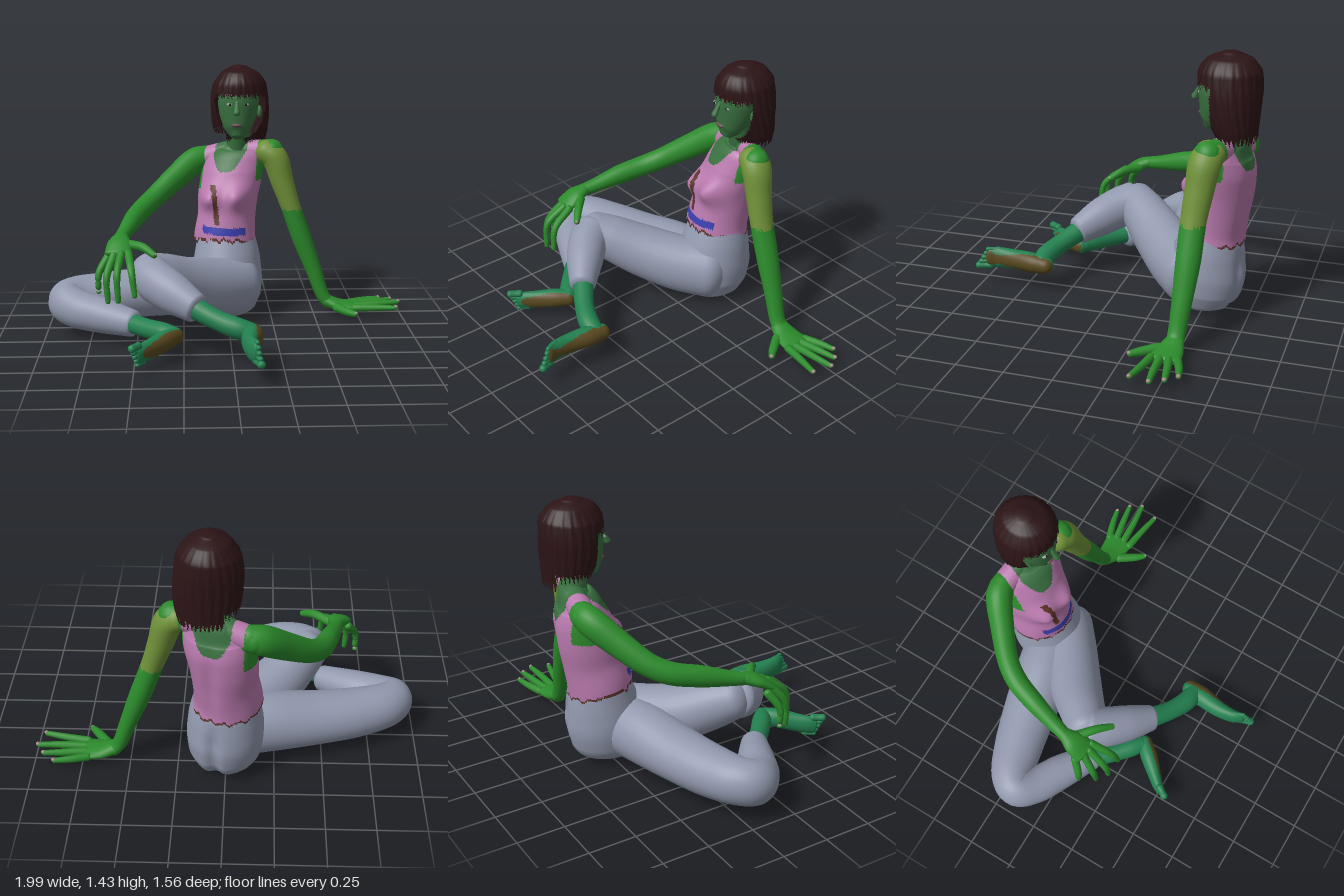
import * as THREE from 'three';

const mat = (color, side = THREE.FrontSide) => new THREE.MeshStandardMaterial({ color, side });
const V = (x, y, z) => new THREE.Vector3(x, y, z);
const clamp = THREE.MathUtils.clamp;

export function createModel() {
  const root = new THREE.Group();
  const M = {
    skin: mat(0x2c8a2c), olive: mat(0x6f9038), face: mat(0x3a7040), sole: mat(0x5a4a20), ankle: mat(0x238050),
    shirt: mat(0xb97aae, THREE.DoubleSide), streak: mat(0x5a3328, THREE.DoubleSide), blue: mat(0x3a3fb0, THREE.DoubleSide),
    trousers: mat(0x9299ae), hair: mat(0x2c1416, THREE.DoubleSide), nail: mat(0xa08a84), lips: mat(0x6b4a50),
    eye: mat(0x9aa39a), pupil: mat(0x151515),
  };

  // Smooth body part through sections [x, y, z, halfWidth, halfDepth]; depth follows ref.
  // paint is a material key, or a rule giving a key per face (null leaves it out).
  function limb(name, sections, paint, o = {}) {
    const { ref = V(0, 1, 0), seg = 20, rings = 24, cap = 0.9, warp, parent = root } = o;
    const path = new THREE.CatmullRomCurve3(sections.map(s => V(s[0], s[1], s[2])));
    const size = new THREE.CatmullRomCurve3(sections.map(s => V(s[3], s[4] ?? s[3], 0)));
    const list = [];
    const capSteps = 6;
    for (let i = 0; i < capSteps; i++) list.push([0, (i / capSteps) * Math.PI / 2, -1]);
    for (let i = 0; i <= rings; i++) list.push([i / rings, Math.PI / 2, 0]);
    for (let i = capSteps - 1; i >= 0; i--) list.push([1, (i / capSteps) * Math.PI / 2, 1]);
    const pos = [], idx = [];
    for (const [t, ang, dir] of list) {
      const T = path.getTangent(t), r = size.getPoint(t);
      const B = ref.clone().addScaledVector(T, -ref.dot(T)).normalize();
      const S = B.clone().cross(T);
      const c = path.getPoint(t).addScaledVector(T, dir * Math.cos(ang) * Math.min(r.x, r.y) * cap);
      const k = Math.max(Math.sin(ang), 0.002);
      for (let j = 0; j < seg; j++) {
        const th = (j / seg) * Math.PI * 2;
        const p = c.clone().addScaledVector(S, Math.cos(th) * r.x * k).addScaledVector(B, Math.sin(th) * r.y * k);
        if (warp) warp(p, th);
        pos.push(p.x, p.y, p.z);
      }
    }
    for (let i = 0; i < list.length - 1; i++) for (let j = 0; j < seg; j++) {
      const a = i * seg + j, b = i * seg + (j + 1) % seg, c = a + seg, d = b + seg;
      idx.push(a, b, c, b, d, c);
    }
    const geo = new THREE.BufferGeometry();
    geo.setAttribute('position', new THREE.Float32BufferAttribute(pos, 3));
    geo.setIndex(idx);
    geo.computeVertexNormals();
    const groups = {};
    for (let i = 0; i < idx.length; i += 3) {
      const f = idx.slice(i, i + 3);
      const mid = n => (pos[f[0] * 3 + n] + pos[f[1] * 3 + n] + pos[f[2] * 3 + n]) / 3;
      const key = typeof paint === 'string' ? paint : paint(V(mid(0), mid(1), mid(2)));
      if (key) (groups[key] ??= []).push(...f);
    }
    for (const key in groups) {
      const g = geo.clone();
      g.setIndex(groups[key]);
      const mesh = new THREE.Mesh(g, M[key]);
      mesh.name = Object.keys(groups).length > 1 ? `${name} ${key}` : name;
      parent.add(mesh);
    }
  }
  function ball(name, p, s, key, parent = root) {
    const m = new THREE.Mesh(new THREE.SphereGeometry(1, 16, 12), M[key]);
    m.name = name;
    m.position.set(...p);
    m.scale.set(...s);
    parent.add(m);
  }

  // The trunk is turned a little towards its right
  const front = V(-0.295, 0, 0.955), side = V(0.955, 0, 0.295);
  const local = p => { const q = V(p.x - 0.03, 0, p.z + 0.59); return [q.dot(side), q.dot(front)]; };
  const bump = (a, b, w) => Math.exp(-(a * a + b * b) / (w * w));
  const jag = a => 0.012 * Math.sin(a * 90) + 0.007 * Math.sin(a * 173);

  // Tank top with scooped neck, arm holes and ragged hem
  function topRule(p) {
    const [u, v] = local(p), w = Math.abs(u);
    if (p.y < 0.415 + 0.2 * v + jag(u) * 0.7) return null;
    if (p.y < 0.428 + 0.2 * v + jag(u) * 0.7) return 'streak';
    const tilt = p.y - u * 0.15;
    const neck = (v > 0 ? 0.84 : 0.82) + 18 * Math.max(0, w - 0.02) ** 2;
    if (tilt > neck && w < 0.095) return 'face';
    if (tilt > 0.76 && w > 0.155) return 'skin';
    if (v > 0.05 && Math.abs(p.x + 0.07 - (0.65 - p.y) * 0.1) < 0.014 && p.y > 0.55 && p.y < 0.77) return 'streak';
    if (v > 0.05 && Math.abs(p.y - 0.515 - 0.1 * (0.0 - p.x) * 0.5) < 0.02 && p.x > -0.14 && p.x < 0.1) return 'blue';
    return 'shirt';
  }
  limb('torso', [
    [0, 0.34, -0.53, 0.185, 0.17], [-0.012, 0.45, -0.535, 0.177, 0.17], [0, 0.58, -0.56, 0.165, 0.165],
    [0.01, 0.70, -0.585, 0.172, 0.16], [0.03, 0.81, -0.605, 0.178, 0.145], [0.045, 0.89, -0.615, 0.17, 0.115],
    [0.055, 0.945, -0.625, 0.13, 0.08], [0.06, 0.97, -0.62, 0.07, 0.06],
  ], topRule, {
    ref: front, seg: 96, rings: 80, cap: 0.2,
    warp(p) {
      const [u, v] = local(p);
      if (v > 0) p.addScaledVector(front, 0.06 * (bump(u - 0.085, p.y - 0.70, 0.065) + bump(u + 0.085, p.y - 0.70, 0.065)));
      else p.addScaledVector(front, 0.018 * bump(u, (p.y - 0.65) * 0.2, 0.04));
      p.y += u * 0.16 * clamp((p.y - 0.6) / 0.3, 0, 1);
    },
  });
  limb('shoulders', [
    [-0.14, 0.885, -0.67, 0.065], [-0.05, 0.915, -0.655, 0.062], [0.05, 0.94, -0.635, 0.06],
    [0.16, 0.945, -0.595, 0.062], [0.26, 0.945, -0.55, 0.07],
  ], topRule, { rings: 60 });

  // Trousers: seat and legs
  limb('seat', [
    [0.01, 0.015, -0.49, 0.08, 0.09], [0.01, 0.05, -0.49, 0.15, 0.165], [0.005, 0.12, -0.495, 0.188, 0.2],
    [0, 0.22, -0.505, 0.2, 0.21], [0, 0.34, -0.52, 0.19, 0.188], [-0.005, 0.46, -0.535, 0.166, 0.155],
  ], 'trousers', {
    ref: front, seg: 64, rings: 40, cap: 0.12,
    warp(p) {
      const [u, v] = local(p);
      if (v < -0.02) p.addScaledVector(front, 0.03 * bump(u, 0, 0.03) * clamp((0.38 - p.y) / 0.12, 0, 1));
    },
  });
  limb('right leg', [
    [-0.03, 0.2, -0.45, 0.15, 0.16], [-0.22, 0.2, -0.40, 0.155, 0.16], [-0.45, 0.185, -0.345, 0.15, 0.14],
    [-0.68, 0.18, -0.285, 0.135, 0.13], [-0.84, 0.185, -0.225, 0.115, 0.12], [-0.885, 0.18, -0.165, 0.105, 0.115],
    [-0.82, 0.16, -0.09, 0.1, 0.105], [-0.68, 0.145, -0.01, 0.095, 0.095], [-0.52, 0.13, 0.09, 0.07, 0.072],
  ], 'trousers', { seg: 28, rings: 60, cap: 0.5 });
  limb('left thigh', [
    [0.06, 0.2, -0.43, 0.15, 0.17], [-0.07, 0.215, -0.32, 0.15, 0.165], [-0.24, 0.27, -0.18, 0.145, 0.15],
    [-0.37, 0.345, -0.05, 0.125, 0.13], [-0.435, 0.385, 0.02, 0.11, 0.11],
  ], 'trousers', { seg: 28, rings: 32, cap: 0.7 });
  limb('left lower leg', [
    [-0.435, 0.385, 0.02, 0.11, 0.11], [-0.39, 0.355, 0.09, 0.11, 0.115], [-0.30, 0.315, 0.18, 0.1, 0.108],
    [-0.19, 0.265, 0.275, 0.072, 0.08],
  ], 'trousers', { seg: 28, rings: 28, cap: 0.4 });

  // Feet lie on their sides, with the soles facing sideways
  function foot(name, anklePts, footPts, sole, toeBase, toeStep, bigUp, isSole) {
    const g = new THREE.Group();
    g.name = name;
    root.add(g);
    limb('ankle', anklePts, 'ankle', { parent: g });
    limb('foot', footPts, p => (isSole(p) ? 'sole' : 'ankle'), { ref: sole, seg: 28, parent: g });
    for (let i = 0; i < 5; i++) {
      const r = i === 0 ? 0.021 : 0.016 - i * 0.001;
      const p = toeBase.clone().addScaledVector(toeStep, -i * 0.2);
      p.y += bigUp * (0.045 - i * 0.024);
      const q = p.clone().add(toeStep);
      limb('toe', [[p.x, p.y, p.z, r], [(p.x + q.x) / 2, p.y, (p.z + q.z) / 2, r * 0.9], [q.x, q.y, q.z, r]],
        'ankle', { seg: 10, rings: 6, parent: g });
    }
  }
  foot('left foot',
    [[-0.22, 0.275, 0.25, 0.06], [-0.08, 0.22, 0.345, 0.052], [0.02, 0.19, 0.39, 0.055], [0.09, 0.17, 0.4, 0.05]],
    [[0.105, 0.16, 0.365, 0.045, 0.045], [0.095, 0.165, 0.45, 0.055, 0.055], [0.08, 0.165, 0.56, 0.055, 0.045],
      [0.085, 0.165, 0.66, 0.06, 0.032], [0.1, 0.165, 0.70, 0.055, 0.024]],
    V(1, 0, 0), V(0.1, 0.165, 0.695), V(0.02, 0, 0.06), -1, p => p.x > 0.112);
  foot('right foot',
    [[-0.56, 0.135, 0.06, 0.055], [-0.45, 0.13, 0.17, 0.05], [-0.36, 0.13, 0.25, 0.052], [-0.31, 0.13, 0.29, 0.045]],
    [[-0.29, 0.125, 0.30, 0.045, 0.04], [-0.345, 0.12, 0.36, 0.053, 0.047], [-0.41, 0.105, 0.43, 0.052, 0.038],
      [-0.465, 0.095, 0.49, 0.05, 0.028], [-0.48, 0.09, 0.51, 0.046, 0.022]],
    V(0.75, 0, 0.66), V(-0.475, 0.095, 0.505), V(-0.03, 0, 0.045), 1,
    p => (p.x + 0.29) * 0.75 + (p.z - 0.3) * 0.66 > 0.02);

  // Arms: the left props the body up, the right rests over the knee
  limb('left arm', [
    [0.225, 0.945, -0.56, 0.07, 0.08], [0.272, 0.91, -0.545, 0.074, 0.083], [0.315, 0.78, -0.53, 0.066, 0.074],
    [0.365, 0.63, -0.515, 0.056, 0.066], [0.425, 0.46, -0.51, 0.056, 0.064], [0.5, 0.26, -0.5, 0.045, 0.052],
    [0.555, 0.11, -0.49, 0.038, 0.045], [0.585, 0.07, -0.487, 0.036, 0.045],
  ], p => (p.y > 0.62 ? 'olive' : 'skin'), { ref: V(0, 0, 1), seg: 24, rings: 48 });
  limb('right arm', [
    [-0.11, 0.895, -0.67, 0.06, 0.07], [-0.18, 0.875, -0.655, 0.07, 0.077], [-0.3, 0.785, -0.57, 0.062, 0.07],
    [-0.42, 0.69, -0.465, 0.056, 0.06], [-0.475, 0.65, -0.38, 0.056, 0.058], [-0.52, 0.62, -0.25, 0.052, 0.056],
    [-0.56, 0.585, -0.1, 0.04, 0.04], [-0.58, 0.57, -0.02, 0.035, 0.033],
  ], 'skin', { seg: 24, rings: 48 });

  // Hands: palm, then fingers as [base, middle, tip]
  function hand(name, palm, fingers) {
    const g = new THREE.Group();
    g.name = name;
    root.add(g);
    limb('palm', palm, 'skin', { parent: g });
    fingers.forEach(([a, b, c], i) => {
      const r = i === 0 ? 0.024 : 0.02;
      limb(i ? 'finger' : 'thumb', [[...a, r * 1.1], [...b, r * 0.95], [...c, r * 0.7]], 'skin', { seg: 12, rings: 12, parent: g });
      const tip = V(...c).addScaledVector(V(...c).sub(V(...b)).normalize(), 0.006);
      ball('nail', [tip.x, tip.y + 0.006, tip.z], [0.011, 0.01, 0.011], 'nail', g);
    });
  }
  hand('left hand',
    [[0.575, 0.08, -0.488, 0.048, 0.035], [0.64, 0.058, -0.48, 0.07, 0.032], [0.73, 0.052, -0.475, 0.082, 0.022]],
    [[[0.63, 0.055, -0.42], [0.685, 0.05, -0.34], [0.718, 0.05, -0.3]],
      [[0.73, 0.055, -0.41], [0.85, 0.06, -0.39], [0.955, 0.065, -0.368]],
      [[0.74, 0.055, -0.455], [0.87, 0.064, -0.46], [0.983, 0.07, -0.47]],
      [[0.735, 0.055, -0.5], [0.85, 0.062, -0.52], [0.945, 0.068, -0.535]],
      [[0.72, 0.052, -0.54], [0.81, 0.058, -0.57], [0.885, 0.062, -0.587]]]);
  hand('right hand',
    [[-0.578, 0.572, -0.02, 0.04, 0.032], [-0.585, 0.55, 0.04, 0.065, 0.032], [-0.59, 0.515, 0.1, 0.07, 0.024]],
    [[[-0.54, 0.545, 0.03], [-0.46, 0.545, 0.1], [-0.4, 0.515, 0.155]],
      [[-0.535, 0.515, 0.11], [-0.515, 0.44, 0.225], [-0.5, 0.325, 0.25]],
      [[-0.572, 0.515, 0.12], [-0.59, 0.43, 0.225], [-0.585, 0.295, 0.24]],
      [[-0.61, 0.505, 0.11], [-0.645, 0.41, 0.185], [-0.64, 0.28, 0.195]],
      [[-0.645, 0.49, 0.075], [-0.69, 0.41, 0.12], [-0.692, 0.315, 0.12]]]);

  // Neck, head and face
  limb('neck', [[0.06, 0.9, -0.63, 0.08, 0.075], [0.065, 0.98, -0.615, 0.064, 0.064], [0.07, 1.1, -0.59, 0.062, 0.066]],
    'face', { ref: V(0, 0, 1) });
  limb('head', [
    [0.058, 1.035, -0.51, 0.035, 0.032], [0.06, 1.07, -0.53, 0.07, 0.07], [0.064, 1.15, -0.56, 0.104, 0.105],
    [0.068, 1.24, -0.58, 0.116, 0.125], [0.072, 1.32, -0.6, 0.105, 0.12], [0.072, 1.38, -0.61, 0.05, 0.06],
  ], 'face', { ref: V(0, 0, 1), seg: 32, rings: 32, cap: 0.3 });
  limb('nose', [[0.055, 1.235, -0.462, 0.011], [0.053, 1.2, -0.443, 0.014], [0.052, 1.178, -0.432, 0.018]],
    'face', { ref: V(0, 0, 1), seg: 12, rings: 8 });
  ball('lips', [0.055, 1.105, -0.474], [0.032, 0.012, 0.018], 'lips');
  for (const s of [-1, 1]) {
    ball('eye', [0.06 + s * 0.045, 1.222, -0.474], [0.019, 0.009, 0.014], 'eye');
    ball('pupil', [0.06 + s * 0.045, 1.222, -0.465], [0.007, 0.008, 0.007], 'pupil');
  }
  ball('ear', [0.188, 1.17, -0.585], [0.015, 0.035, 0.024], 'face');

  // Bobbed hair with a ragged fringe, open around the face
  limb('hair', [
    [0.085, 0.97, -0.675, 0.125, 0.09], [0.085, 1.05, -0.655, 0.15, 0.115], [0.08, 1.14, -0.635, 0.163, 0.142],
    [0.075, 1.24, -0.62, 0.163, 0.16], [0.075, 1.33, -0.615, 0.148, 0.158], [0.073, 1.395, -0.615, 0.1, 0.115],
    [0.073, 1.422, -0.615, 0.045, 0.05],
  ], p => {
    const a = Math.atan2(p.x - 0.075, p.z + 0.62);
    if (p.y < 1.0 + jag(a * 0.5) * 1.5 + (p.x < 0 ? 0.06 : 0)) return null;
    return p.y < 1.265 + jag(a) && p.z > -0.545 ? null : 'hair';
  }, {
    ref: V(0, 0, 1), seg: 120, rings: 48, cap: 0.2,
    warp(p, th) {
      const k = 1 + (0.014 * Math.sin(th * 23 + p.y * 9) + 0.01 * Math.sin(th * 41 - p.y * 14)) * clamp((1.43 - p.y) * 8, 0, 1);
      p.x = 0.075 + (p.x - 0.075) * k;
      p.z = -0.62 + (p.z + 0.62) * k;
    },
  });
  return root;
}
